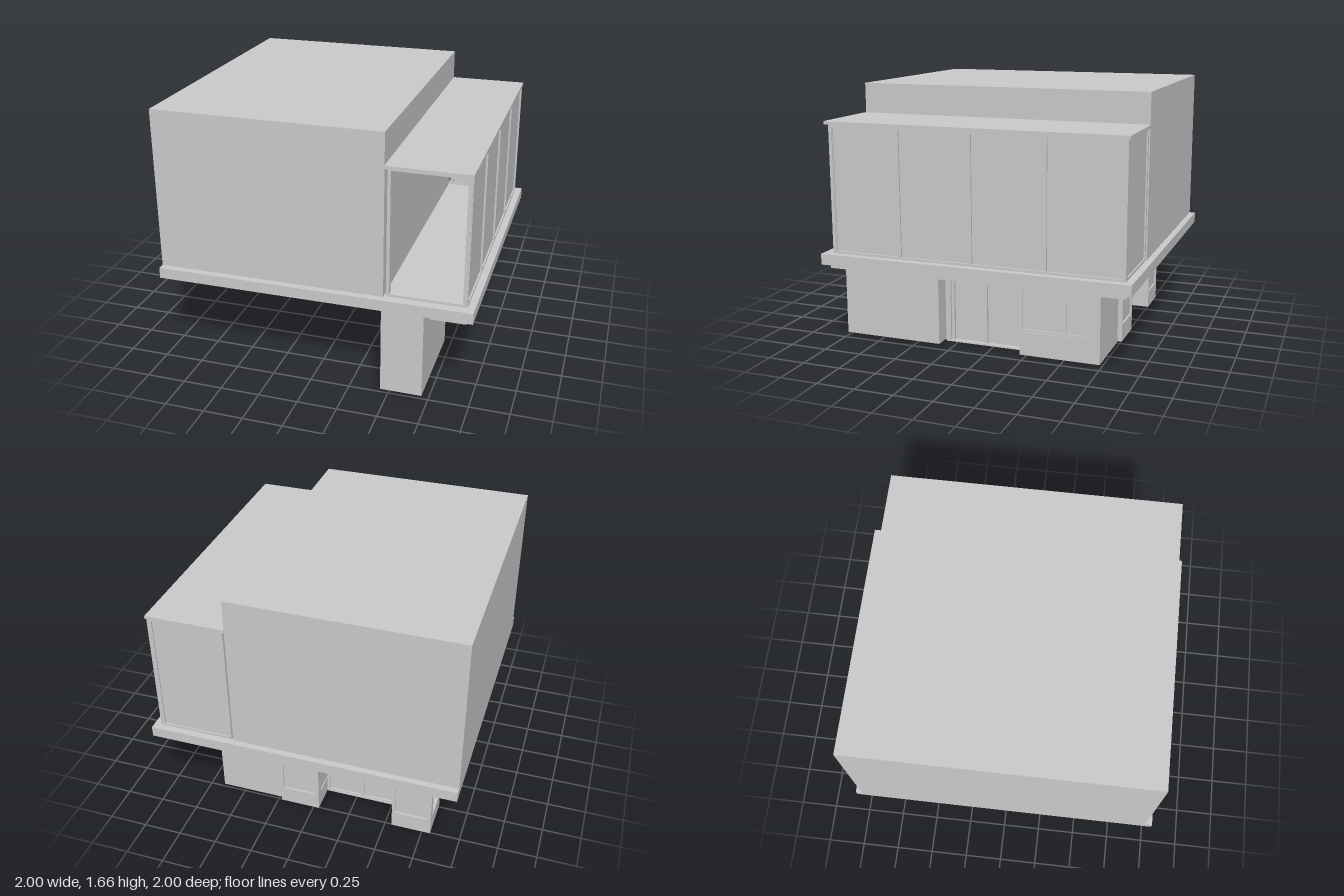
import * as THREE from 'three';

const material = new THREE.MeshStandardMaterial({ color: 0xcccccc, flatShading: true });

// Box given by its two extents on each axis
function slab(parent, name, [x0, x1], [y0, y1], [z0, z1]) {
  const mesh = new THREE.Mesh(new THREE.BoxGeometry(x1 - x0, y1 - y0, z1 - z0), material);
  mesh.position.set((x0 + x1) / 2, (y0 + y1) / 2, (z0 + z1) / 2);
  mesh.name = name;
  parent.add(mesh);
  return mesh;
}

// Framed glazing in a plane: axis 'x' runs along x at depth z, axis 'z' runs along z at depth x.
// stops are post centres; glass is recessed inside the frame depth.
function glazing(parent, name, axis, stops, y, depth, { bar = 0.02, glass = true } = {}) {
  const group = new THREE.Group();
  group.name = name;
  const put = (part, along, height, across) => axis === 'x'
    ? slab(group, part, along, height, across)
    : slab(group, part, across, height, along);
  const first = stops[0] - bar / 2, last = stops[stops.length - 1] + bar / 2;
  for (const s of stops) put('post', [s - bar / 2, s + bar / 2], y, depth);
  for (let i = 0; i + 1 < stops.length; i++) {
    const span = [stops[i] + bar / 2, stops[i + 1] - bar / 2];
    put('bottomRail', span, [y[0], y[0] + bar * 0.8], depth);
    put('topRail', span, [y[1] - bar * 0.8, y[1]], depth);
  }
  if (glass) {
    const mid = (depth[0] + depth[1]) / 2;
    put('glass', [first + 0.002, last - 0.002], [y[0] + 0.002, y[1] - 0.002], [mid - 0.004, mid + 0.004]);
  }
  parent.add(group);
}

// Rear bay: low wall, framed rear window, header and side glazing
function bay(parent, name, [x0, x1], openLeft) {
  const group = new THREE.Group();
  group.name = name;
  const zb = -0.76, zf = -0.49;
  slab(group, 'lowWall', [x0, x1], [0.01, 0.11], [zb, zf]);
  slab(group, 'header', [x0, x1], [0.47, 0.57], [zb, zb + 0.03]);
  glazing(group, 'rearWindow', 'x', [x0 + 0.01, x1 - 0.01], [0.11, 0.47], [zb, zb + 0.03]);
  const sides = [[x0, x0 + 0.02, !openLeft], [x1 - 0.02, x1, true]];
  for (const [a, b, glass] of sides) {
    glazing(group, 'sideWindow', 'z', [zb + 0.04, zf - 0.01], [0.11, 0.57], [a, b], { glass });
  }
  parent.add(group);
}

export function createModel() {
  const model = new THREE.Group();
  model.name = 'house';

  // Upper storey and floor plate
  slab(model, 'upperStorey', [-1, 0.45], [0.64, 1.67], [-0.96, 0.955]);
  slab(model, 'floorPlate', [-1, 1], [0.57, 0.64], [-1, 1]);
  slab(model, 'fasciaStrip', [0.735, 0.955], [0.54, 0.57], [-0.96, 0.96]);

  // Glazed gallery along the side
  const gallery = new THREE.Group();
  gallery.name = 'gallery';
  slab(gallery, 'galleryRoof', [0.45, 0.96], [1.455, 1.475], [-0.965, 0.965]);
  glazing(gallery, 'longGlazing', 'z', [-0.945, -0.47, 0, 0.47, 0.925], [0.64, 1.455], [0.925, 0.955]);
  glazing(gallery, 'rearGlazing', 'x', [0.473, 0.94], [0.64, 1.455], [-0.955, -0.93]);
  glazing(gallery, 'frontFrame', 'x', [0.473, 0.94], [0.64, 1.455], [0.91, 0.94], { glass: false });
  model.add(gallery);

  // Solid front pier
  slab(model, 'frontPier', [0.45, 0.71], [0.025, 0.57], [0.33, 1]);

  // Side doors
  slab(model, 'sideDoorJamb', [0.55, 0.6], [0.015, 0.57], [0.295, 0.33]);
  glazing(model, 'sideDoors', 'z', [0.285, 0.055, -0.19], [0.015, 0.57].slice(), [0.555, 0.585]);
  slab(model, 'sideThreshold', [0.55, 0.6], [0.01, 0.02], [-0.2, 0.33]);

  // Corner bay with low wall, side window and rear wall
  const corner = new THREE.Group();
  corner.name = 'cornerBay';
  slab(corner, 'cornerLowWall', [0.41, 0.66], [0.005, 0.16], [-0.73, -0.205]);
  slab(corner, 'cornerRearWall', [0.225, 0.66], [0.005, 0.57], [-0.73, -0.65]);
  glazing(corner, 'cornerWindow', 'z', [-0.64, -0.5, -0.215], [0.16, 0.57], [0.63, 0.655]);
  glazing(corner, 'cornerReturnWindow', 'x', [0.565, 0.65], [0.16, 0.57], [-0.225, -0.205]);
  model.add(corner);

  // Rear bays with glazed doors between them
  bay(model, 'middleBay', [-0.04, 0.225], false);
  bay(model, 'endBay', [-0.805, -0.545], true);
  glazing(model, 'rearDoors', 'x', [-0.535, -0.29, -0.05], [0.015, 0.57], [-0.575, -0.545]);
  slab(model, 'rearThreshold', [-0.545, -0.04], [0.01, 0.02], [-0.58, -0.54]);

  return model;
}
